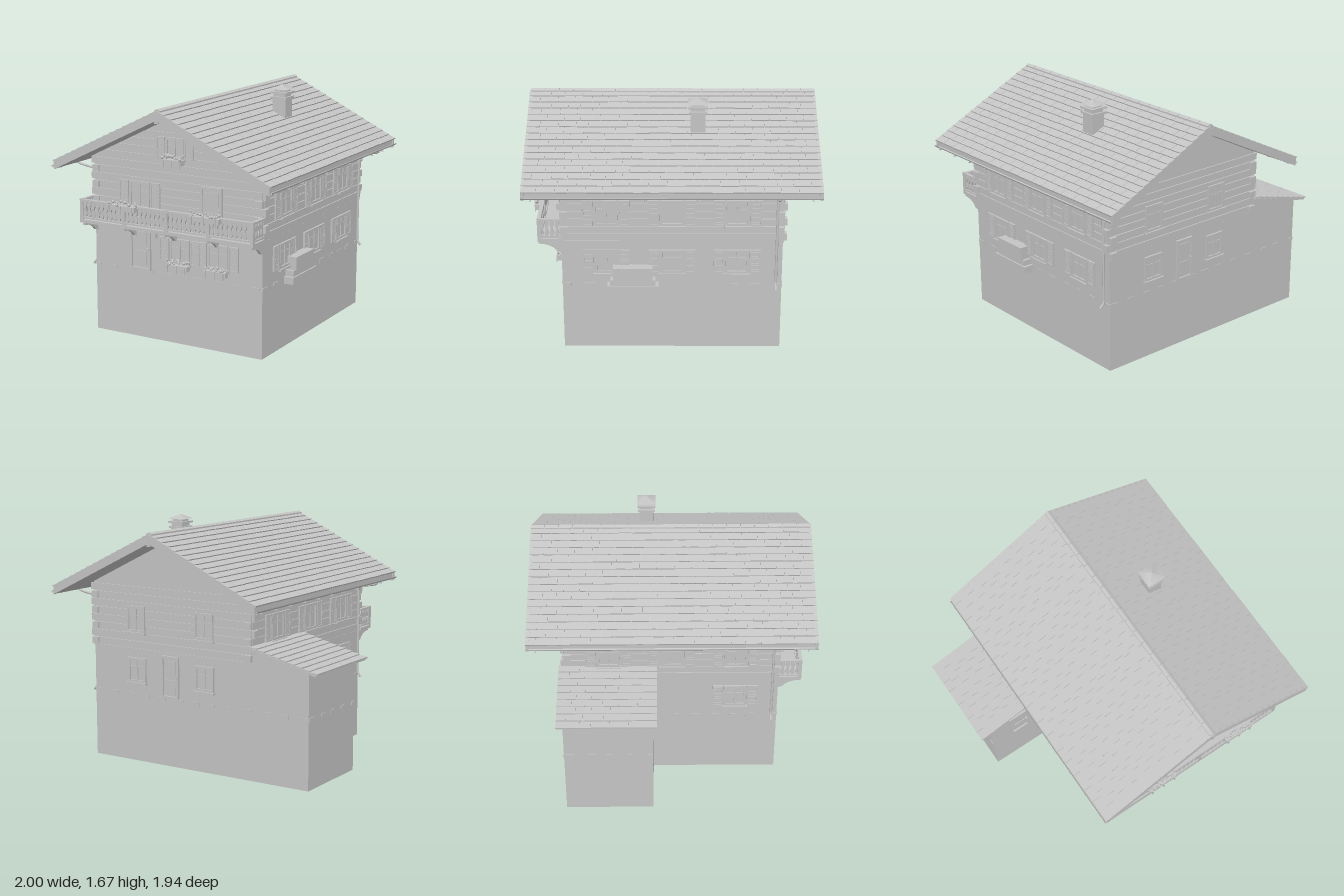
import * as THREE from 'three';
import { mergeGeometries } from 'three/addons/utils/BufferGeometryUtils.js';

const grey = new THREE.MeshStandardMaterial({ color: 0xc4c4c4, side: THREE.DoubleSide });
grey.name = 'plainGrey';

let seed = 7;
const rnd = () => (seed = (seed * 16807) % 2147483647) / 2147483647;

// geometry box from min and max corners
const slab = (x0, x1, y0, y1, z0, z1) =>
  new THREE.BoxGeometry(x1 - x0, y1 - y0, z1 - z0).translate((x0 + x1) / 2, (y0 + y1) / 2, (z0 + z1) / 2);

function add(parent, name, geos) {
  const list = [].concat(geos).map(g => (g.index ? g.toNonIndexed() : g));
  const mesh = new THREE.Mesh(list.length > 1 ? mergeGeometries(list) : list[0], grey);
  mesh.name = name;
  parent.add(mesh);
  return mesh;
}

function extrude(points, z0, z1) {
  const shape = new THREE.Shape(points.map(p => new THREE.Vector2(...p)));
  return new THREE.ExtrudeGeometry(shape, { depth: z1 - z0, bevelEnabled: false }).translate(0, 0, z0);
}

const tube = (pts, r, n = 24) => new THREE.TubeGeometry(
  new THREE.CatmullRomCurve3(pts.map(p => new THREE.Vector3(...p)), false, 'catmullrom', 0.1), n, r, 8);

// rectangular frame around an opening centred on the origin
const frame = (w, h, t, d) => [
  slab(-w / 2, w / 2, h / 2 - t, h / 2, 0, d), slab(-w / 2, w / 2, -h / 2, -h / 2 + t, 0, d),
  slab(-w / 2, -w / 2 + t, -h / 2, h / 2, 0, d), slab(w / 2 - t, w / 2, -h / 2, h / 2, 0, d)];

// planter with leaves, blossoms and trailing stems
function flowerBox(w) {
  const geos = [slab(-w / 2, w / 2, -0.035, 0, 0.01, 0.055)];
  for (let i = 0; i < 14; i++) {
    const x = (i / 13 - 0.5) * w, y = 0.004 + rnd() * 0.024;
    geos.push(new THREE.IcosahedronGeometry(0.008 + rnd() * 0.005, 0).translate(x, y, 0.02 + rnd() * 0.035));
  }
  for (const s of [-0.42, 0, 0.4]) geos.push(slab(s * w - 0.005, s * w + 0.005, -0.055, 0, 0.055, 0.062));
  return geos;
}

function makeWindow(w, h, shutters, planter) {
  const g = new THREE.Group();
  g.name = 'window';
  add(g, 'windowPane', slab(-w / 2, w / 2, -h / 2, h / 2, 0, 0.004));
  add(g, 'windowFrame', [...frame(w, h, 0.016, 0.014),
    slab(-0.006, 0.006, -h / 2, h / 2, 0, 0.011),
    slab(-w / 2, w / 2, h * 0.12, h * 0.12 + 0.007, 0, 0.009),
    slab(-w / 2 - 0.008, w / 2 + 0.008, -h / 2 - 0.014, -h / 2, 0, 0.026)]);
  if (shutters) for (const s of [-1, 1]) {
    const sw = w / 2 - 0.004, cx = s * (w * 0.75 + 0.004);
    const parts = frame(sw, h, 0.011, 0.014);
    parts.push(slab(-sw / 2, sw / 2, -h / 2, h / 2, 0.002, 0.008));
    for (let y = -h / 2 + 0.02; y < h / 2 - 0.015; y += 0.016)
      parts.push(slab(-sw / 2, sw / 2, y, y + 0.006, 0, 0.011));
    parts.push(slab(s * 0.026 - 0.003, s * 0.026 + 0.003, -0.006, 0.006, 0, 0.02));
    add(g, 'shutter', parts).position.x = cx;
  }
  if (planter) add(g, 'flowerBox', flowerBox(w + 0.01)).position.y = -h / 2;
  return g;
}

function makeDoor(w, h) {
  const g = new THREE.Group();
  g.name = 'door';
  add(g, 'doorLeaf', [slab(-w / 2, w / 2, -h / 2, h / 2, 0, 0.004),
    slab(-w * 0.3, w * 0.3, 0.02, h * 0.38, 0, 0.009), slab(-w * 0.3, w * 0.3, -h * 0.4, -0.02, 0, 0.009)]);
  add(g, 'doorFrame', frame(w, h, 0.014, 0.016));
  add(g, 'doorHandle', slab(w * 0.34, w * 0.42, -0.012, 0.004, 0, 0.022));
  return g;
}

// overlapping shingles on a slope running down from the origin along +x
function shingles(length, width, rows, cols) {
  const geos = [], pitch = length / rows;
  for (let r = 0; r < rows; r++) {
    const cuts = [-width / 2];
    for (let c = 1; c < cols; c++) cuts.push(-width / 2 + (c + (r % 2 ? 0.25 : -0.25) + (rnd() - 0.5) * 0.35) * width / cols);
    cuts.push(width / 2);
    for (let c = 0; c < cols; c++) {
      const over = pitch * 1.12 + rnd() * 0.006;
      geos.push(new THREE.BoxGeometry(over, 0.01, cuts[c + 1] - cuts[c] - 0.003).rotateZ(0.13)
        .translate((r + 0.47) * pitch, -0.006, (cuts[c] + cuts[c + 1]) / 2));
    }
  }
  return geos;
}

export function createModel() {
  const house = new THREE.Group();
  house.name = 'chalet';
  const XL = -0.49, XR = 0.81, Z = 0.73, RX = 0.16, M = 0.488;
  const place = (o, x, y, z, turn = 0) => { o.position.set(x, y, z); o.rotation.y = turn; house.add(o); };

  // basement and annex
  add(house, 'foundation', slab(XL, XR, 0, 0.48, -Z, Z));
  add(house, 'annexBody', extrude([[-0.92, 0], [XL, 0], [XL, 0.89], [-0.92, 0.78]], -Z, -0.13));

  // upper house body with gables
  add(house, 'walls', extrude([[XL, 0.48], [XR, 0.48], [XR, 1.235], [RX, 1.555], [XL, 1.235]], -Z, Z));
  add(house, 'floorBand', slab(XL - 0.006, XR + 0.006, 0.783, 0.795, -Z - 0.006, Z + 0.006));

  // irregular stones below the plaster
  const stones = [];
  const stoneRow = (a, b, make) => {
    for (let p = a; p < b - 0.03; p += 0.11 + rnd() * 0.05) stones.push(make(p, Math.min(p + 0.04 + rnd() * 0.03, b)));
  };
  const low = () => 0.45 + rnd() * 0.015;
  stoneRow(XL, XR, (a, b) => slab(a, b, low(), 0.482, Z, Z + 0.005));
  stoneRow(-0.92, XR, (a, b) => slab(a, b, low(), 0.482, -Z - 0.005, -Z));
  stoneRow(-Z, Z, (a, b) => slab(XR, XR + 0.005, low(), 0.482, a, b));
  stoneRow(-0.1, Z, (a, b) => slab(XL - 0.005, XL, low(), 0.482, a, b));
  stoneRow(-Z, -0.13, (a, b) => slab(-0.925, -0.92, low(), 0.482, a, b));
  add(house, 'plinthStones', stones);

  // horizontal logs and their crossing ends
  const logs = [], ends = [], step = 0.054;
  for (let i = 0; 0.797 + i * step < 1.5; i++) {
    const y0 = 0.797 + i * step, y1 = y0 + step - 0.005;
    const half = Math.min(0.65, (1.555 - y1) / M - 0.01);
    logs.push(slab(RX - half, RX + half, y0, y1, Z, Z + 0.009));
    if (y1 > 1.24) continue;
    logs.push(slab(RX - half, RX + half, y0, y1, -Z - 0.009, -Z));
    for (const [x, s] of [[XL, -1], [XR, 1]]) {
      const xo = x + s * 0.009;
      logs.push(slab(Math.min(x, xo), Math.max(x, xo), y0, y1, -Z, Z));
      for (const t of [-1, 1]) ends.push(i % 2
        ? new THREE.BoxGeometry(0.045, step - 0.008, 0.05).translate(x + s * 0.002, (y0 + y1) / 2, t * (Z - 0.02))
        : new THREE.BoxGeometry(0.05, step - 0.008, 0.045).translate(x - s * 0.02, (y0 + y1) / 2, t * (Z + 0.002)));
    }
  }
  add(house, 'logCourses', logs);
  add(house, 'logEnds', ends);

  // main roof: deck, verge boards, shingles, ridge caps
  const deck = (t, b, e) => [[RX, t], [RX + e, t - M * e], [RX + e, b - M * e], [RX, b], [RX - e, b - M * e], [RX - e, t - M * e]];
  add(house, 'roofDeck', extrude(deck(1.602, 1.555, 0.81), -0.95, 0.95));
  for (const z of [-0.965, 0.945]) add(house, 'vergeBoard', extrude(deck(1.618, 1.555, 0.82), z, z + 0.02));
  for (const s of [1, -1]) {
    const m = add(house, 'roofShingles', shingles(0.92, 1.93, 16, 17));
    m.position.set(RX, 1.619, 0);
    m.rotation.set(0, s < 0 ? Math.PI : 0, -Math.atan(M));
  }
  const caps = [];
  for (let i = 0; i < 20; i++) {
    const z = -0.96 + i * 0.096;
    caps.push(extrude([[RX, 1.628], [RX + 0.022, 1.617], [RX + 0.022, 1.606], [RX - 0.022, 1.606], [RX - 0.022, 1.617]], z, z + 0.092));
  }
  add(house, 'ridgeCaps', caps);
  add(house, 'ridgeBeam', slab(RX - 0.012, RX + 0.012, 1.535, 1.6, -0.968, 0.968));

  // annex roof
  add(house, 'annexRoofDeck', extrude([[XL, 0.9], [-0.99, 0.775], [-0.99, 0.763], [XL, 0.885]], -0.765, -0.105));
  const lean = add(house, 'annexShingles', shingles(0.527, 0.67, 9, 6));
  lean.position.set(XL, 0.914, -0.435);
  lean.rotation.set(0, Math.PI, -Math.atan(0.13 / 0.51));

  // gutters, hooks and downpipes
  for (const s of [-1, 1]) {
    const gx = RX + s * 0.822, wall = RX + s * 0.668, pz = -s * 0.69;
    add(house, 'gutter', new THREE.CylinderGeometry(0.016, 0.016, 1.93, 10, 1, true, -Math.PI / 2, Math.PI)
      .rotateX(Math.PI / 2).translate(gx, 1.18, 0));
    const hooks = [];
    for (let z = -0.9; z < 0.95; z += 0.18) hooks.push(slab(gx - 0.018, gx + 0.018, 1.157, 1.165, z - 0.004, z + 0.004));
    add(house, 'gutterHooks', hooks);
    add(house, 'downpipe', tube([[gx, 1.165, pz], [gx - s * 0.02, 1.15, pz], [wall + s * 0.02, 1.132, pz], [wall, 1.11, pz],
      [wall, 0.8, pz], [wall, 0.49, pz], [wall + s * 0.03, 0.455, pz]], 0.009, 40));
  }

  // chimney
  add(house, 'chimney', [slab(0.42, 0.52, 1.36, 1.585, -0.22, -0.12), slab(0.41, 0.53, 1.575, 1.59, -0.23, -0.11),
    slab(0.425, 0.515, 1.59, 1.615, -0.215, -0.125), slab(0.407, 0.533, 1.612, 1.624, -0.233, -0.107),
    slab(0.43, 0.51, 1.62, 1.645, -0.21, -0.13)]);
  add(house, 'chimneyCap', new THREE.ConeGeometry(0.092, 0.032, 4).rotateY(Math.PI / 4).translate(0.47, 1.657, -0.17));

  // balcony: floor, rails, profiled balusters, brackets
  const bz = 0.885, bl = -0.51, br = 0.825;
  add(house, 'balconyFloor', slab(bl, br, 0.79, 0.812, Z, bz));
  const rails = [];
  for (const [y0, y1] of [[0.938, 0.952], [0.82, 0.832]]) {
    rails.push(slab(bl, br, y0, y1, bz - 0.025, bz));
    for (const x of [bl, br - 0.022]) rails.push(slab(x, x + 0.022, y0, y1, Z, bz));
  }
  for (const x of [bl, -0.17, 0.16, 0.48, br - 0.024]) rails.push(slab(x, x + 0.024, 0.79, 0.955, bz - 0.027, bz));
  add(house, 'balconyRails', rails);
  const half = [[0.007, 0.82], [0.015, 0.85], [0.006, 0.882], [0.015, 0.912], [0.007, 0.945]];
  const baluster = extrude([...half, ...half.map(([x, y]) => [-x, y]).reverse()], -0.005, 0.005);
  const balusters = [];
  for (let i = 0; i < 38; i++) balusters.push(baluster.clone().translate(bl + 0.035 + i * 0.0342, 0, bz - 0.013));
  for (const x of [bl + 0.011, br - 0.011]) for (let i = 0; i < 4; i++)
    balusters.push(baluster.clone().rotateY(Math.PI / 2).translate(x, 0, Z + 0.025 + i * 0.034));
  add(house, 'balusters', balusters);
  const bracket = new THREE.Shape();
  bracket.moveTo(0, 0.79);
  bracket.lineTo(-0.15, 0.79);
  bracket.lineTo(-0.15, 0.772);
  bracket.quadraticCurveTo(-0.06, 0.768, -0.03, 0.72);
  bracket.lineTo(0, 0.71);
  const bGeo = new THREE.ExtrudeGeometry(bracket, { depth: 0.018, bevelEnabled: false }).rotateY(Math.PI / 2);
  add(house, 'balconyBrackets', [-0.49, -0.17, 0.15, 0.47, 0.795].map(x => bGeo.clone().translate(x, 0, Z)));
  for (const x of [-0.16, 0.48]) {
    const f = add(house, 'railFlowerBox', flowerBox(0.22));
    f.position.set(x, 0.95, bz - 0.025);
  }

  // front openings
  const zf = Z + 0.007;
  place(makeDoor(0.16, 0.3), -0.12, 0.63, Z);
  for (const x of [0.19, 0.48]) place(makeWindow(0.155, 0.17, true, true), x, 0.645, Z);
  place(makeWindow(0.16, 0.18, true), -0.12, 1.0, zf);
  place(makeDoor(0.16, 0.3), 0.44, 0.96, zf);
  place(makeWindow(0.14, 0.14, true, true), RX, 1.34, zf);
  place(makeDoor(0.15, 0.29), -0.69, 0.615, -0.13);
  add(house, 'wallLamp', [slab(0.0, 0.02, 0.72, 0.765, Z + 0.015, Z + 0.04), slab(0.005, 0.015, 0.76, 0.775, Z, Z + 0.03)]);

  // side openings
  for (const z of [0.435, 0, -0.43]) {
    place(makeWindow(0.155, 0.18, true), XR + 0.007, 1.0, z, Math.PI / 2);
    place(makeWindow(0.155, 0.17, true), XR, 0.645, z, Math.PI / 2);
    place(makeWindow(0.155, 0.18, true), XL - 0.007, 1.0, z, -Math.PI / 2);
  }
  place(makeWindow(0.155, 0.17, true), XL, 0.645, 0.435, -Math.PI / 2);

  // back openings
  for (const x of [0.44, -0.12]) {
    place(makeWindow(0.15, 0.18), x, 1.0, -Z - 0.007, Math.PI);
    place(makeWindow(0.15, 0.17), x, 0.645, -Z, Math.PI);
  }
  place(makeDoor(0.14, 0.29), RX, 0.625, -Z, Math.PI);

  // stepped wood stack on the side wall
  add(house, 'woodStack', [slab(XR, 0.882, 0.53, 0.62, 0.13, 0.39), slab(XR, 0.872, 0.49, 0.53, 0.11, 0.41),
    slab(XR, 0.882, 0.44, 0.49, 0.09, 0.43)]);
  return house;
}
